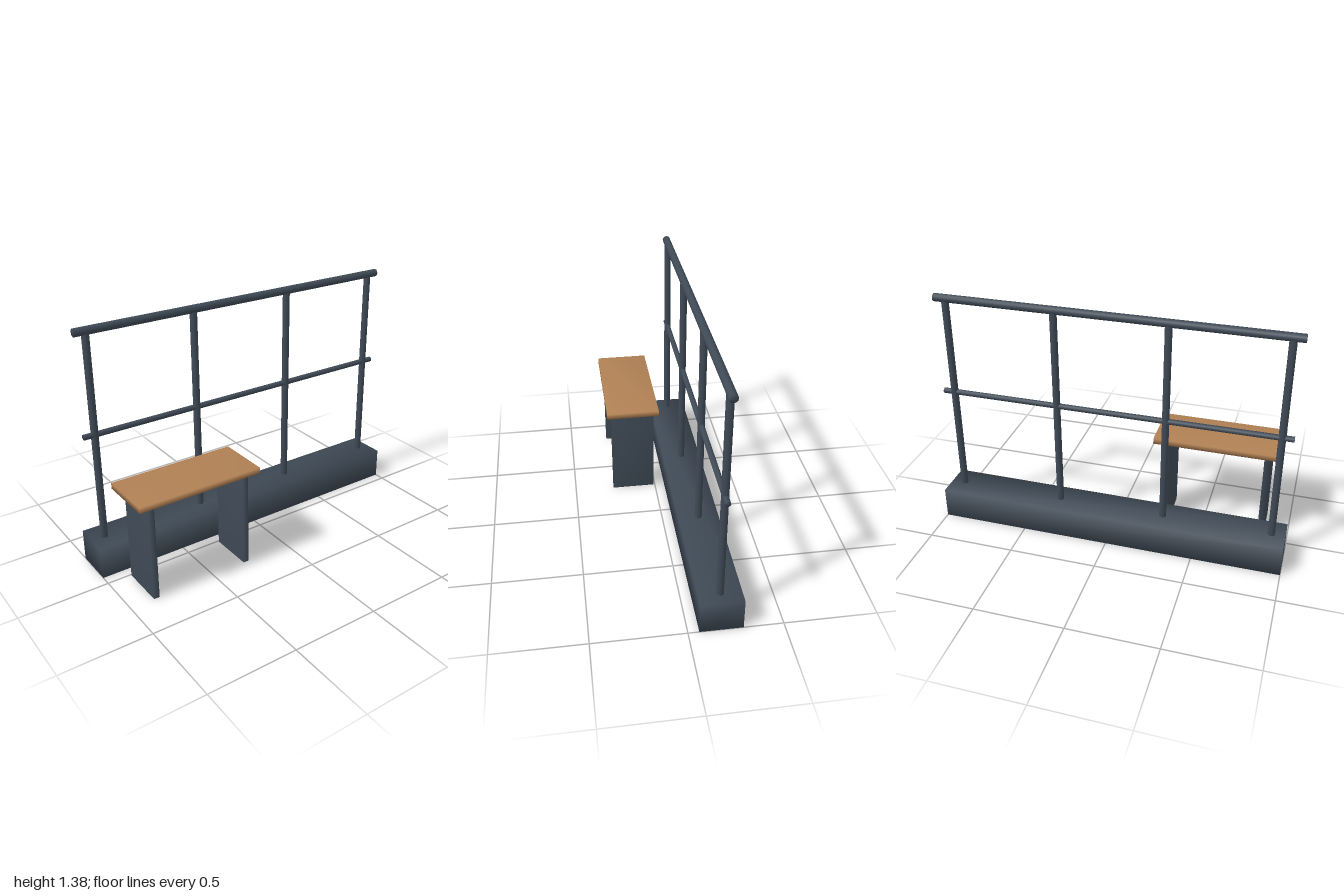
import * as THREE from 'three';
import { mergeVertices } from 'three/addons/utils/BufferGeometryUtils.js';

const steel = new THREE.MeshStandardMaterial({ name: 'dark steel', color: 0x3f4a56 });
const wood = new THREE.MeshStandardMaterial({ name: 'warm wood', color: 0xb08054 });

// Share corner vertices so the shading rolls softly over the edges
function soften(geometry) {
  geometry.deleteAttribute('normal');
  geometry.deleteAttribute('uv');
  const merged = mergeVertices(geometry, 1e-4);
  merged.clearGroups();
  merged.computeVertexNormals();
  return merged;
}

function addMesh(parent, name, geometry, material, x, y, z) {
  const mesh = new THREE.Mesh(soften(geometry), material);
  mesh.name = name;
  mesh.position.set(x, y, z);
  parent.add(mesh);
  return mesh;
}

export function createModel() {
  const model = new THREE.Group();
  model.name = 'railingWithBench';

  // Railing: plinth, four posts and two horizontal rails
  const railing = new THREE.Group();
  railing.name = 'railing';
  railing.position.z = -0.174;
  model.add(railing);
  addMesh(railing, 'plinth', new THREE.BoxGeometry(2, 0.18, 0.23), steel, 0, 0.09, 0);
  for (let i = 0; i < 4; i++) {
    const x = -0.923 + i * 0.6153;
    addMesh(railing, 'post', new THREE.CylinderGeometry(0.02, 0.02, 1.18, 12), steel, x, 0.77, 0);
  }
  for (const [name, y, radius] of [['handrail', 1.36, 0.0225], ['midRail', 0.797, 0.0155]]) {
    const rail = new THREE.CylinderGeometry(radius, radius, 1.972, 12).rotateZ(Math.PI / 2);
    addMesh(railing, name, rail, steel, 0, y, 0);
  }

  // Bench: wooden seat above two slab legs
  const bench = new THREE.Group();
  bench.name = 'bench';
  bench.position.set(-0.565, 0, 0.135);
  model.add(bench);
  addMesh(bench, 'seat', new THREE.BoxGeometry(0.718, 0.033, 0.308), wood, 0, 0.567, 0);
  for (const side of [-1, 1]) {
    addMesh(bench, 'benchLeg', new THREE.BoxGeometry(0.033, 0.54, 0.256), steel, side * 0.283, 0.27, 0);
  }
  return model;
}
